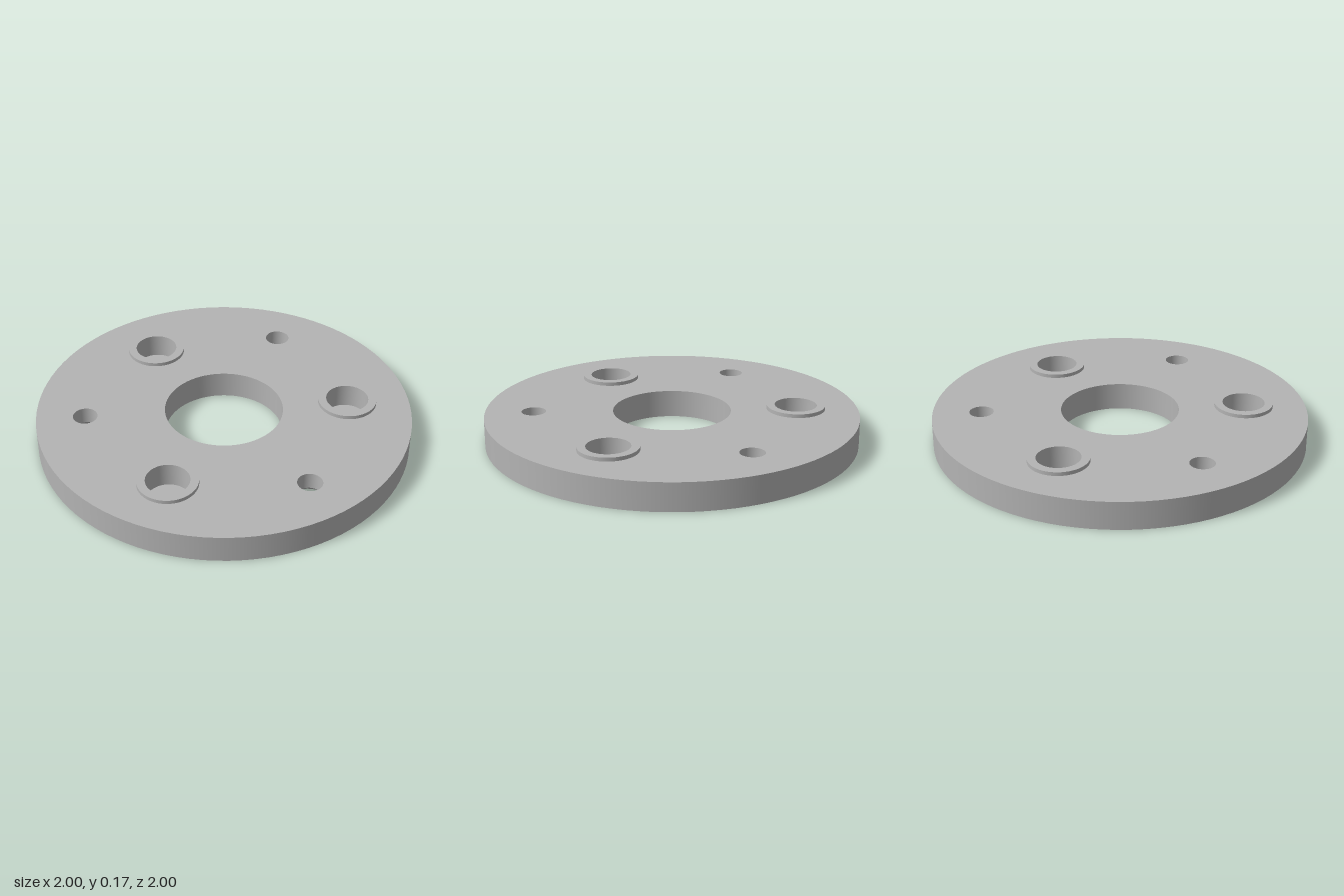
import * as THREE from 'three';

const H = 0.15, BORE = 0.316, SEG = 96;
const BOSS = { ring: 0.667, r: 0.157, pocket: 0.113, top: 0.17, floor: 0.04 };
const HOLE = { ring: 0.74, r: 0.065, sink: 0.123 };

export function createModel() {
  const metal = new THREE.MeshStandardMaterial({ color: 0xb4b4b4 });
  metal.name = 'grey metal';
  const model = new THREE.Group();
  model.name = 'flangePlate';

  const add = (parent, name, geometry) => {
    const mesh = new THREE.Mesh(geometry, metal);
    mesh.name = name;
    parent.add(mesh);
    return mesh;
  };

  // Turned part: one lathe per profile edge keeps the corners sharp
  const turned = (name, profile, x = 0, z = 0) => {
    const group = new THREE.Group();
    group.name = name;
    group.position.set(x, 0, z);
    for (let i = 1; i < profile.length; i++) {
      const edge = [profile[i - 1], profile[i]].map(([r, y]) => new THREE.Vector2(r, y));
      add(group, name + 'Face' + i, new THREE.LatheGeometry(edge, SEG));
    }
    model.add(group);
  };

  // Three evenly spaced places on a circle
  const places = (radius, start) => [0, 1, 2].map((i) => {
    const a = start + (i * Math.PI * 2) / 3;
    return [radius * Math.cos(a), radius * Math.sin(a)];
  });
  const bosses = places(BOSS.ring, 0);
  const holes = places(HOLE.ring, Math.PI);

  // Flat annular face with circular cut-outs [x, z, radius]
  const face = (name, cuts, y, facing) => {
    const shape = new THREE.Shape().absarc(0, 0, 1, 0, Math.PI * 2);
    for (const [x, z, r] of [[0, 0, BORE], ...cuts]) {
      shape.holes.push(new THREE.Path().absarc(x, -z * facing, r, 0, Math.PI * 2));
    }
    const mesh = add(model, name, new THREE.ShapeGeometry(shape, SEG / 2));
    mesh.rotation.x = (-facing * Math.PI) / 2;
    mesh.position.y = y;
  };
  face('topFace', [
    ...bosses.map(([x, z]) => [x, z, BOSS.r]),
    ...holes.map(([x, z]) => [x, z, HOLE.r]),
  ], H, 1);
  face('bottomFace', holes.map(([x, z]) => [x, z, HOLE.sink]), 0, -1);

  // Rim and centre bore
  turned('outerRim', [[1, 0], [1, H]]);
  turned('centreBore', [[BORE, H], [BORE, 0]]);

  // Raised rings around blind pockets
  for (const [x, z] of bosses) {
    turned('pocketBoss', [
      [BOSS.r, H], [BOSS.r, BOSS.top], [BOSS.pocket, BOSS.top],
      [BOSS.pocket, BOSS.floor], [0, BOSS.floor],
    ], x, z);
  }

  // Screw holes, countersunk from below
  for (const [x, z] of holes) {
    turned('screwHole', [[HOLE.r, H], [HOLE.r, HOLE.sink - HOLE.r], [HOLE.sink, 0]], x, z);
  }
  return model;
}
